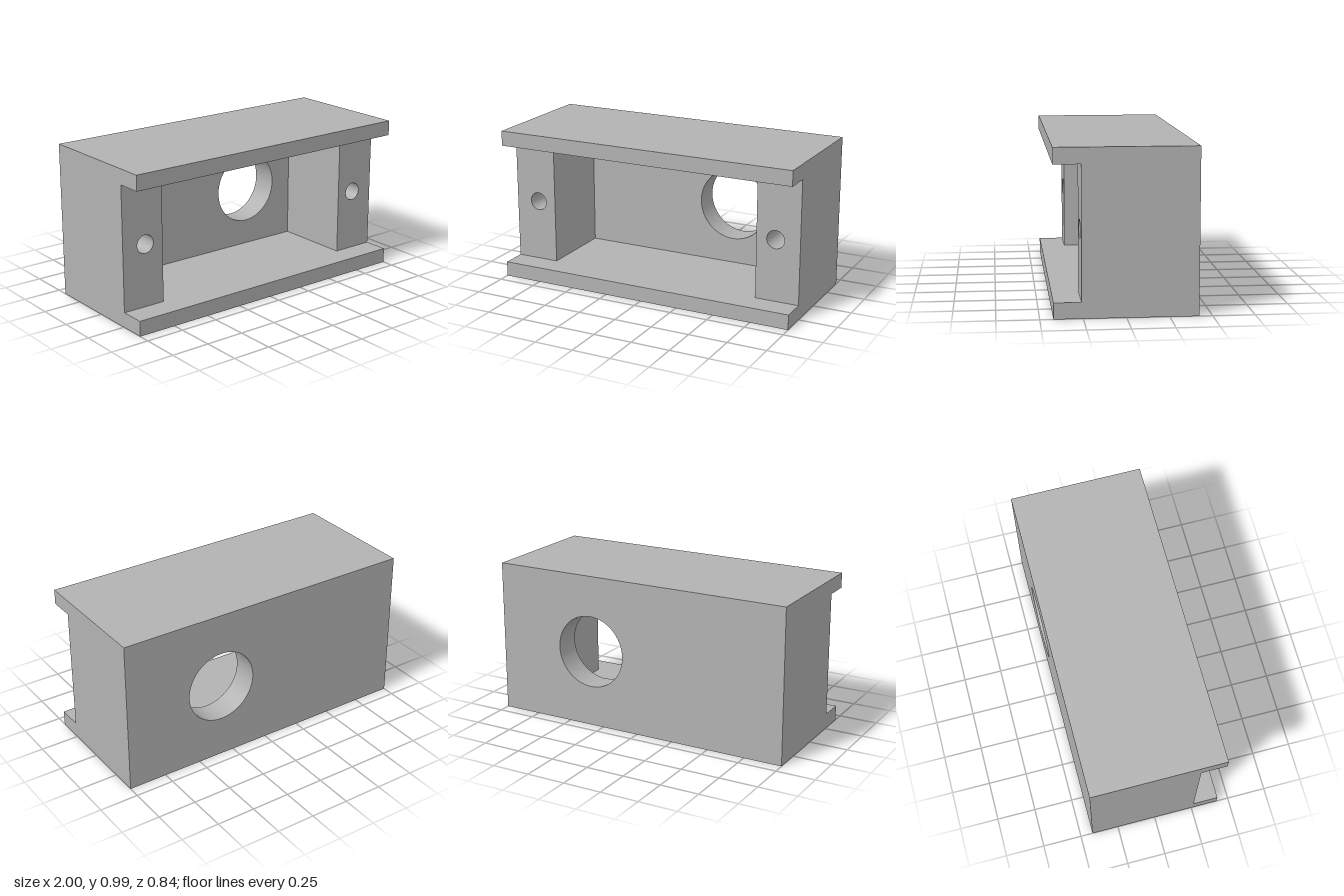
import * as THREE from 'three';
import { toCreasedNormals } from 'three/addons/utils/BufferGeometryUtils.js';

const HEIGHT = 0.99, PLATE = 0.097, BACK = -0.422, FRONT = 0.422;
const MID = HEIGHT / 2;
const WALL_FRONT = -0.25, POST_FRONT = 0.26, POST_INNER = 0.715;

// Upright slab between the two plates, with one round hole through it
function drilledSlab(x0, x1, z0, z1, holeX, radius) {
  const y0 = PLATE, y1 = HEIGHT - PLATE;
  const shape = new THREE.Shape([
    new THREE.Vector2(x0, y0), new THREE.Vector2(x1, y0),
    new THREE.Vector2(x1, y1), new THREE.Vector2(x0, y1),
  ]);
  shape.holes.push(new THREE.Path().absarc(holeX, MID, radius, 0, Math.PI * 2, true));
  const geometry = new THREE.ExtrudeGeometry(shape, { depth: z1 - z0, bevelEnabled: false, curveSegments: 64 });
  geometry.translate(0, 0, z0);
  return toCreasedNormals(geometry, 0.6);
}

export function createModel() {
  const group = new THREE.Group();
  group.name = 'housing';
  const grey = new THREE.MeshStandardMaterial({ color: 0xb2b2b2 });
  grey.name = 'grey';

  const add = (name, geometry) => {
    const mesh = new THREE.Mesh(geometry, grey);
    mesh.name = name;
    group.add(mesh);
    return mesh;
  };

  // Top and bottom plates, overhanging the posts at the front
  for (const [name, y] of [['bottomPlate', PLATE / 2], ['topPlate', HEIGHT - PLATE / 2]]) {
    add(name, new THREE.BoxGeometry(2, PLATE, FRONT - BACK)).position.y = y;
  }

  // Back wall with the large off-centre opening
  add('backWall', drilledSlab(-1, 1, BACK, WALL_FRONT, 0.335, 0.233));

  // End posts with screw holes closed off by the back wall
  add('leftPost', drilledSlab(POST_INNER, 1, WALL_FRONT, POST_FRONT, 0.84, 0.058));
  add('rightPost', drilledSlab(-1, -POST_INNER, WALL_FRONT, POST_FRONT, -0.84, 0.058));

  return group;
}
